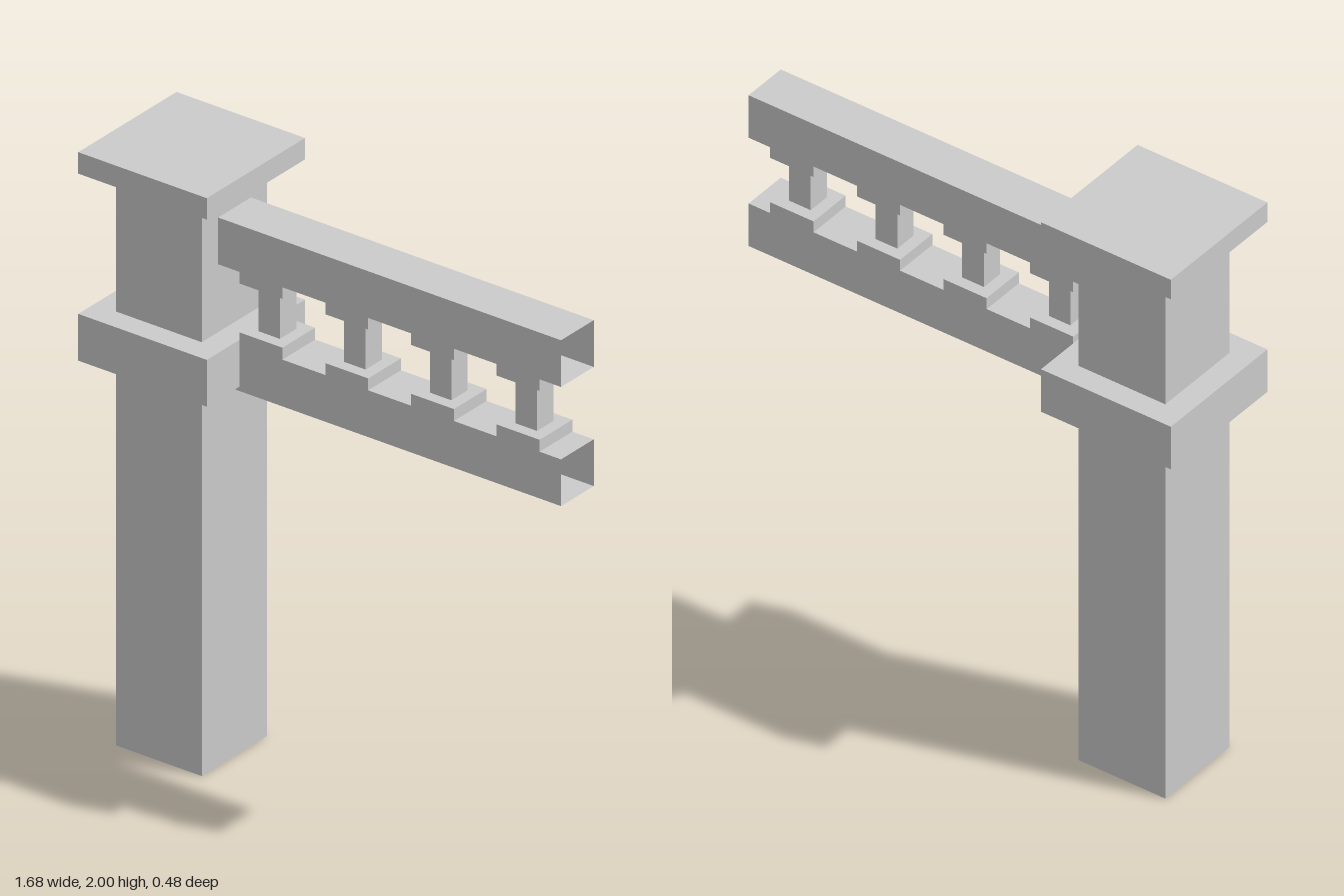
import * as THREE from 'three';

const material = new THREE.MeshStandardMaterial({ color: 0xcccccc, flatShading: true });
const openMaterial = new THREE.MeshStandardMaterial({ color: 0xcccccc, flatShading: true, side: THREE.DoubleSide });

// Box given by its centre x, bottom and top heights, width and depth
function addBox(parent, name, x, y0, y1, width, depth) {
  const mesh = new THREE.Mesh(new THREE.BoxGeometry(width, y1 - y0, depth), material);
  mesh.name = name;
  mesh.position.set(x, (y0 + y1) / 2, 0);
  parent.add(mesh);
}

// Hollow square rail along x, open at both ends
function addRail(parent, name, x0, x1, y0, y1, depth) {
  const geometry = new THREE.BoxGeometry(x1 - x0, y1 - y0, depth);
  // The first 12 indices are the two end faces
  geometry.setIndex(Array.from(geometry.index.array).slice(12));
  geometry.clearGroups();
  const mesh = new THREE.Mesh(geometry, openMaterial);
  mesh.name = name;
  mesh.position.set((x0 + x1) / 2, (y0 + y1) / 2, 0);
  parent.add(mesh);
}

export function createModel() {
  const model = new THREE.Group();
  model.name = 'balustradeEnd';

  // Square post with collar and cap
  const post = new THREE.Group();
  post.name = 'post';
  addBox(post, 'postShaft', -0.6, 0, 1.93, 0.32, 0.32);
  addBox(post, 'postCollar', -0.6, 1.3, 1.457, 0.48, 0.48);
  addBox(post, 'postCap', -0.6, 1.928, 2, 0.48, 0.48);
  model.add(post);

  // Rails running out from the post
  addRail(model, 'lowerRail', -0.44, 0.84, 1.285, 1.442, 0.16);
  addRail(model, 'upperRail', -0.44, 0.84, 1.685, 1.842, 0.16);

  // Balusters: a slim stem between two square plates
  for (let i = 0; i < 4; i++) {
    const baluster = new THREE.Group();
    baluster.name = `baluster${i + 1}`;
    baluster.position.x = -0.28 + i * 0.32;
    addBox(baluster, 'balusterFoot', 0, 1.442, 1.482, 0.16, 0.16);
    addBox(baluster, 'balusterStem', 0, 1.482, 1.646, 0.08, 0.08);
    addBox(baluster, 'balusterHead', 0, 1.646, 1.685, 0.16, 0.16);
    model.add(baluster);
  }
  return model;
}
